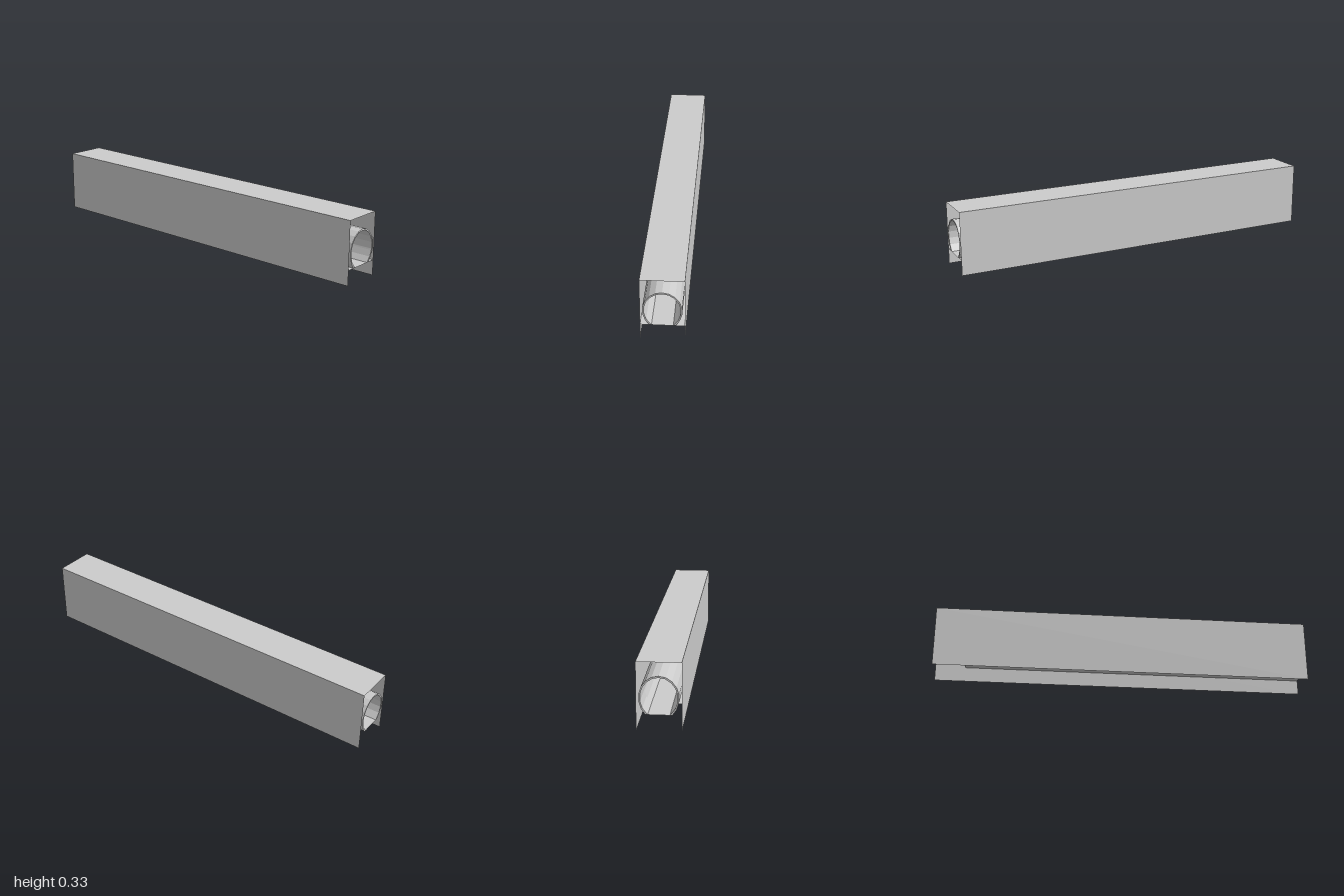
import * as THREE from 'three';

const material = new THREE.MeshStandardMaterial({
  color: 0xcccccc, flatShading: true, side: THREE.DoubleSide,
});
const W = 0.105, H = 0.33, FLOOR = 0.08, SLOT = 0.053;

// Flat sheet swept along z between two points of the cross-section
function sheet(name, [x0, y0], [x1, y1], z0 = -1, z1 = 1) {
  const geometry = new THREE.PlaneGeometry(Math.hypot(x1 - x0, y1 - y0), z1 - z0);
  geometry.rotateX(-Math.PI / 2);
  geometry.rotateZ(Math.atan2(y1 - y0, x1 - x0));
  const mesh = new THREE.Mesh(geometry, material);
  mesh.position.set((x0 + x1) / 2, (y0 + y1) / 2, (z0 + z1) / 2);
  mesh.name = name;
  return mesh;
}

// Arc of an 18-sided oval, open at the bottom, ending at the floor
function ovalArc(rx, ry, endX) {
  const points = [new THREE.Vector2(-endX, FLOOR)];
  for (let i = -6; i <= 6; i++) {
    const a = i * Math.PI / 9;
    points.push(new THREE.Vector2(rx * Math.sin(a), 0.16 + ry * Math.cos(a)));
  }
  points.push(new THREE.Vector2(endX, FLOOR));
  return points;
}

export function createModel() {
  const model = new THREE.Group();

  // Housing: top sheet and two side walls
  model.add(sheet('housingTop', [-W, H], [W, H]));
  for (const [side, s] of [['left', 1], ['right', -1]]) {
    model.add(sheet(side + 'Wall', [s * W, 0], [s * W, H]));
    // Side ledges stop short of the back end
    model.add(sheet(side + 'Ledge', [s * SLOT, FLOOR], [s * W, FLOOR], -0.84, 1));
  }

  // Floor under the tube
  model.add(sheet('tubeFloor', [-SLOT, FLOOR], [SLOT, FLOOR]));

  // Open-bottomed tube
  const outline = [...ovalArc(0.094, 0.105, 0.062), ...ovalArc(0.087, 0.097, 0.051).reverse()];
  const geometry = new THREE.ExtrudeGeometry(new THREE.Shape(outline), { depth: 2, bevelEnabled: false });
  geometry.translate(0, 0, -1);
  const tube = new THREE.Mesh(geometry, material);
  tube.name = 'tube';
  model.add(tube);

  // Thin liner on the lower left inside of the tube
  model.add(sheet('tubeLiner', [0.085, 0.14], [0.071, 0.106], -0.84, 1));

  return model;
}
